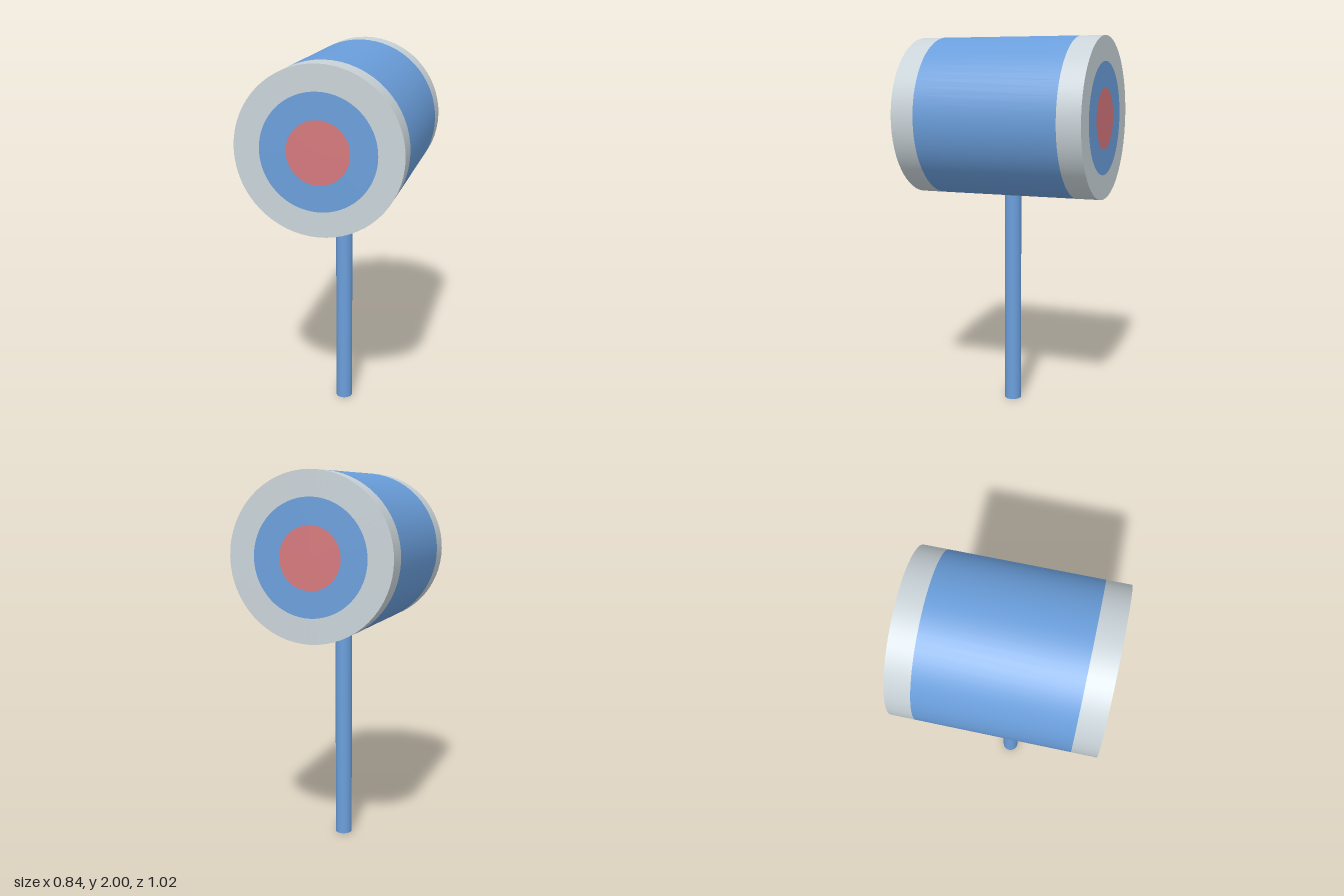
import * as THREE from 'three';

const SEG = 64;
const R = 0.422, CY = 1.578, HALF = 0.51, BAND = 0.384;
const RING = 0.293, DOT = 0.159, HANDLE = 0.045;

function material(name, color) {
  const m = new THREE.MeshStandardMaterial({ color });
  m.name = name;
  return m;
}

function add(parent, name, geometry, mat) {
  const mesh = new THREE.Mesh(geometry, mat);
  mesh.name = name;
  parent.add(mesh);
  return mesh;
}

// Open tube wall along z between two depths
function wall(z0, z1) {
  return new THREE.CylinderGeometry(R, R, z1 - z0, SEG, 1, true)
    .rotateX(Math.PI / 2)
    .translate(0, 0, (z0 + z1) / 2);
}

export function createModel() {
  const blue = material('blue', 0x6a9edb);
  const grey = material('light grey', 0xc9d3d8);
  const red = material('red', 0xd5787c);

  const model = new THREE.Group();
  model.name = 'mallet';

  // Head: blue drum with a grey band and target face at each end
  const head = new THREE.Group();
  head.name = 'head';
  head.position.y = CY;
  model.add(head);
  add(head, 'drum', wall(-BAND, BAND), blue);

  for (const [side, turn] of [['front', 0], ['back', Math.PI]]) {
    const end = new THREE.Group();
    end.name = side + 'End';
    end.rotation.y = turn;
    head.add(end);
    add(end, 'endBand', wall(BAND, HALF), grey);

    // Concentric faces lie flush in one plane
    const outer = add(end, 'outerRing', new THREE.RingGeometry(RING, R, SEG), grey);
    const inner = add(end, 'innerRing', new THREE.RingGeometry(DOT, RING, SEG), blue);
    const dot = add(end, 'centreDot', new THREE.CircleGeometry(DOT, SEG), red);
    for (const face of [outer, inner, dot]) face.position.z = HALF;
  }

  // Handle: runs from the ground into the underside of the head
  const length = CY - R + 0.04;
  const handle = add(model, 'handle', new THREE.CylinderGeometry(HANDLE, HANDLE, length, 32), blue);
  handle.position.y = length / 2;

  return model;
}
